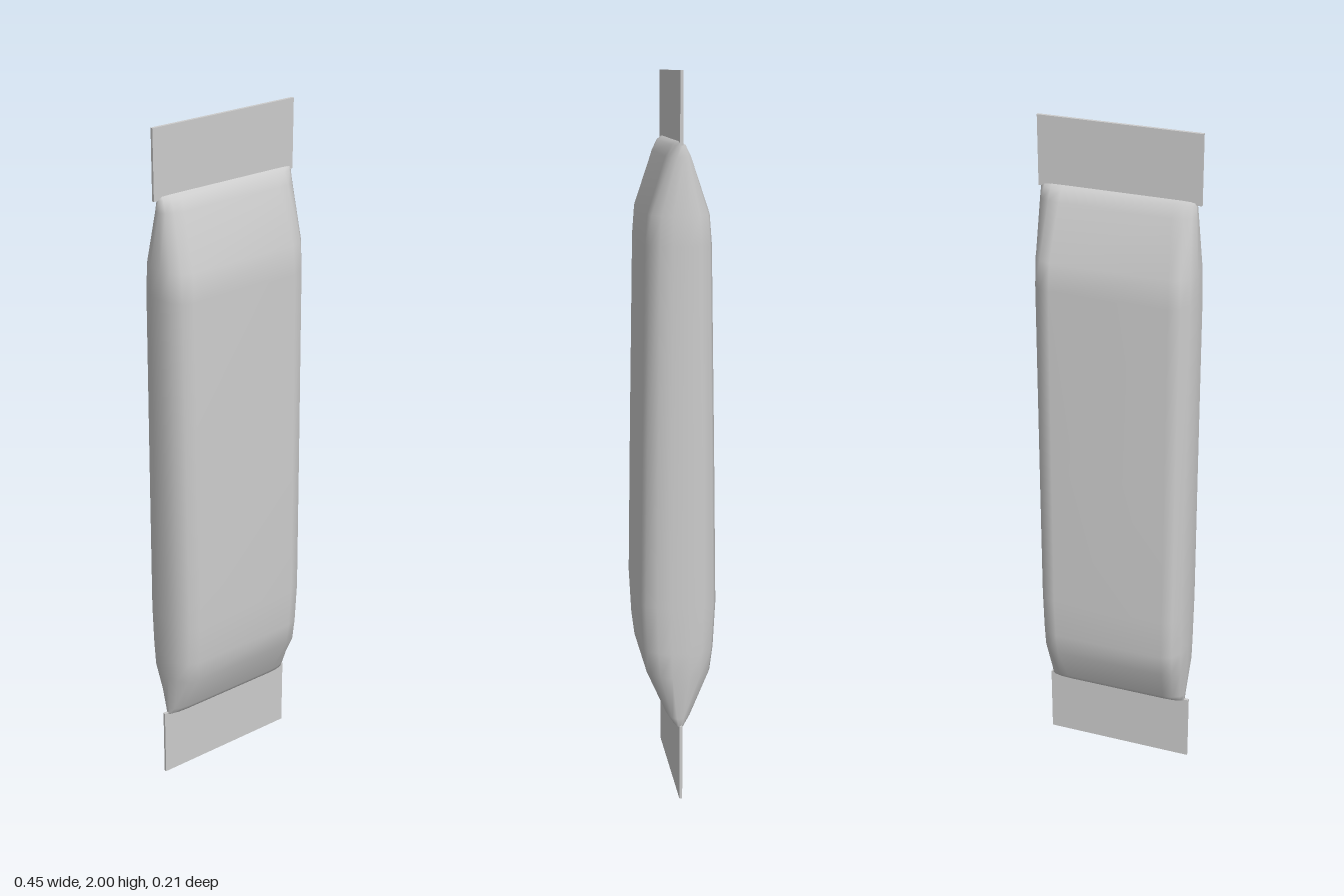
import * as THREE from 'three';

const material = new THREE.MeshStandardMaterial({ color: 0xcccccc });

// Rounded cross-section of the pouch, one quarter: x offset from the side, z as a share of the half depth
const corner = [[0, 0.26], [0.01, 0.62], [0.03, 0.9], [0.06, 1]];

// Closed ring of points running anticlockwise seen from above
function ring(y, halfWidth, halfDepth) {
  const quarter = corner.map(([inset, z]) => [halfWidth - inset, z * halfDepth]);
  const front = [...quarter, ...quarter.map(([x, z]) => [-x, z]).reverse()];
  const back = front.map(([x, z]) => [-x, -z]);
  return [...front, ...back].map(([x, z]) => [x - 0.002, y, z - 0.001]);
}

function loft(rings) {
  const n = rings[0].length;
  const index = [];
  for (let r = 0; r < rings.length - 1; r++) {
    for (let i = 0; i < n; i++) {
      const a = r * n + i, b = r * n + (i + 1) % n;
      index.push(a, a + n, b, b, a + n, b + n);
    }
  }
  const geometry = new THREE.BufferGeometry();
  geometry.setAttribute('position', new THREE.Float32BufferAttribute(rings.flat(2), 3));
  geometry.setIndex(index);
  geometry.computeVertexNormals();
  return geometry;
}

export function createModel() {
  const group = new THREE.Group();

  // Filled pouch: pinched at both ends, fullest low down (y, half width, half depth)
  const sections = [
    [0.206, 0.209, 0.003], [0.212, 0.21, 0.016], [0.235, 0.211, 0.033],
    [0.36, 0.222, 0.088], [0.43, 0.223, 0.097], [0.56, 0.224, 0.104],
    [1.0, 0.224, 0.098], [1.55, 0.224, 0.089], [1.63, 0.222, 0.083],
    [1.78, 0.212, 0.034], [1.81, 0.21, 0.018], [1.82, 0.209, 0.003],
  ];
  const pouch = new THREE.Mesh(loft(sections.map((s) => ring(...s))), material);
  pouch.name = 'pouch';
  group.add(pouch);

  // Flat sealed strips at both ends
  for (const [name, bottom, top] of [['bottomSeal', 0, 0.215], ['topSeal', 1.81, 2]]) {
    const seal = new THREE.Mesh(new THREE.BoxGeometry(0.44, top - bottom, 0.008), material);
    seal.position.set(-0.005, (bottom + top) / 2, -0.002);
    seal.name = name;
    group.add(seal);
  }
  return group;
}
